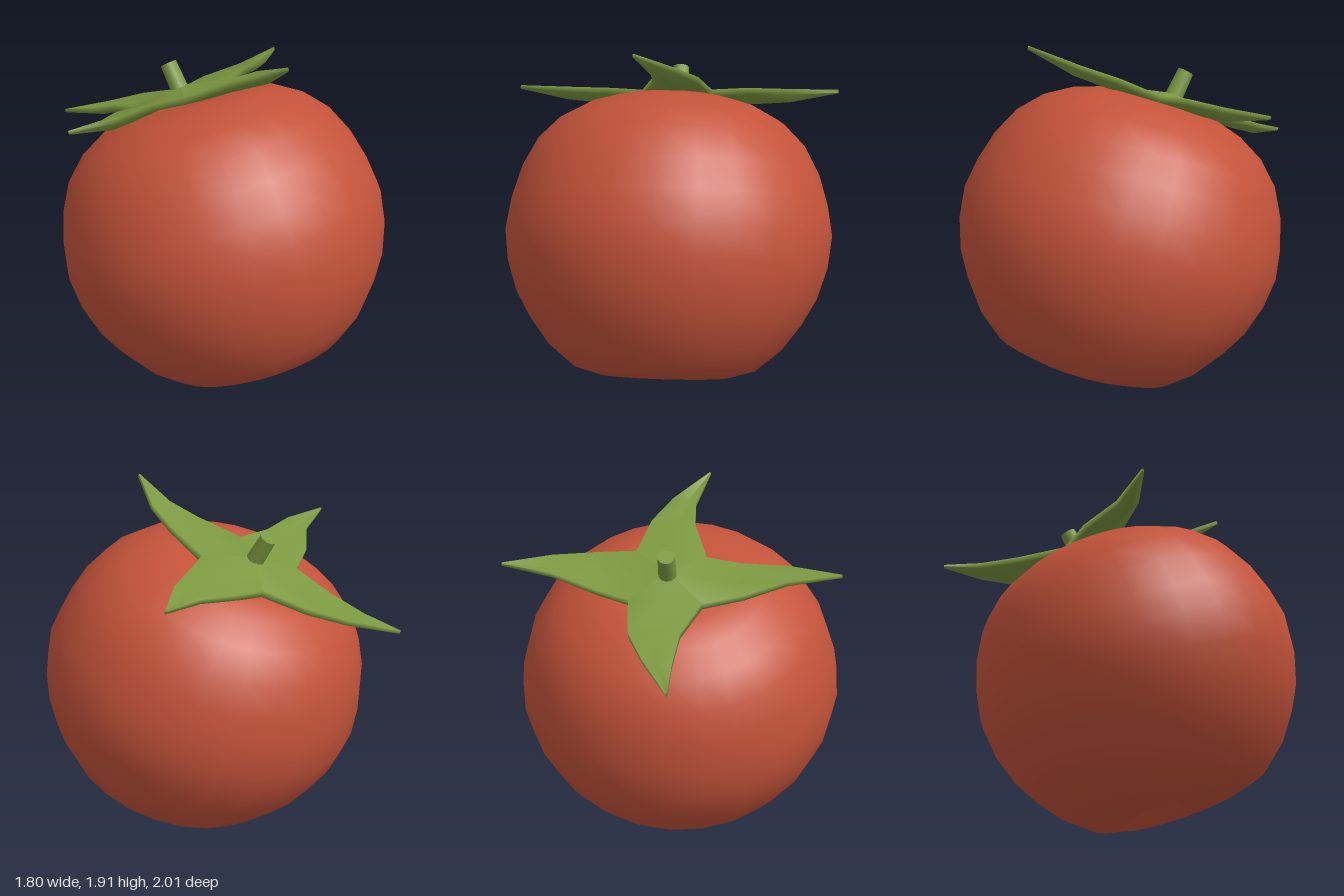
import * as THREE from 'three';

// Each leaf runs outward in stations [leftX, leftZ, rightX, rightZ], ending in a tip
const LEAVES = {
  backLeaf: [[-0.17, -0.23, 0.21, -0.22], [-0.08, -0.475, 0.18, -0.475], [-0.06, -0.69, 0.09, -0.66], [-0.06, -0.9, -0.05, -0.9]],
  frontLeaf: [[0.21, 0.163, -0.17, 0.13], [0.15, 0.397, -0.09, 0.375], [0.05, 0.59, -0.08, 0.555], [-0.135, 0.81, -0.145, 0.81]],
  rightLeaf: [[-0.17, 0.13, -0.17, -0.23], [-0.36, 0.067, -0.38, -0.18], [-0.6, 0.056, -0.6, -0.07], [-0.88, -0.02, -0.88, -0.03]],
  leftLeaf: [[0.21, -0.22, 0.21, 0.163], [0.38, -0.178, 0.4, 0.12], [0.62, -0.07, 0.65, 0.078], [0.9, -0.03, 0.9, -0.02]],
};
const EDGE_Y = [0.765, 0.785, 0.79, 0.81]; // raised rims
const RIB_Y = [0.765, 0.755, 0.76, 0.805]; // sunken midrib
const THICK = [0.04, 0.035, 0.03, 0.015];
const CENTRE = [0.02, 0.805, -0.04];

// Closed leaf: six-point cross-sections joined from the calyx centre to the tip
function leafGeometry(stations) {
  const pos = [], index = [];
  const [cx, cy, cz] = CENTRE;
  for (let k = 0; k < 6; k++) pos.push(cx, k < 3 ? cy : cy - 0.07, cz);
  stations.forEach(([lx, lz, rx, rz], i) => {
    const mx = (lx + rx) / 2, mz = (lz + rz) / 2, e = EDGE_Y[i], m = RIB_Y[i], t = THICK[i];
    pos.push(lx, e, lz, mx, m, mz, rx, e, rz, rx, e - t, rz, mx, m - t, mz, lx, e - t, lz);
  });
  for (let i = 0; i < stations.length; i++) {
    for (let k = 0; k < 6; k++) {
      if (i === 0 && (k === 2 || k === 5)) continue; // no walls between joined leaves
      const a = i * 6 + k, b = i * 6 + (k + 1) % 6, c = b + 6, d = a + 6;
      if (i > 0) index.push(a, b, c);
      index.push(i > 0 ? a : b, c, d);
    }
  }
  const n = stations.length * 6; // tip cap
  for (let k = 1; k < 5; k++) index.push(n, n + k, n + k + 1);
  const g = new THREE.BufferGeometry();
  g.setAttribute('position', new THREE.Float32BufferAttribute(pos, 3));
  g.setIndex(index);
  g.computeVertexNormals();
  return g;
}

export function createModel() {
  const model = new THREE.Group();
  model.name = 'tomato';
  const red = new THREE.MeshStandardMaterial({ color: 0xc4533a });
  const green = new THREE.MeshStandardMaterial({ color: 0x7b9840, side: THREE.DoubleSide });

  // Whole fruit leans back on its base
  const fruit = new THREE.Group();
  fruit.name = 'fruit';
  fruit.position.set(-0.015, 0.87, 0.11);
  fruit.rotation.x = -THREE.MathUtils.degToRad(20);
  model.add(fruit);

  // Body with a dimple below and a shallow one above
  const profile = [
    [0, -0.66], [0.12, -0.68], [0.24, -0.74], [0.35, -0.787], [0.495, -0.745], [0.635, -0.63],
    [0.74, -0.49], [0.82, -0.35], [0.875, -0.18], [0.895, -0.01], [0.87, 0.15], [0.82, 0.32],
    [0.74, 0.475], [0.625, 0.595], [0.48, 0.68], [0.34, 0.725], [0.2, 0.72], [0.1, 0.69], [0, 0.67],
  ].map(([r, y]) => new THREE.Vector2(r, y));
  const body = new THREE.Mesh(new THREE.LatheGeometry(profile, 26), red);
  body.name = 'body';
  fruit.add(body);

  // Four-leaf calyx
  const calyx = new THREE.Group();
  calyx.name = 'calyx';
  calyx.position.x = 0.015;
  fruit.add(calyx);
  for (const [name, stations] of Object.entries(LEAVES)) {
    const leaf = new THREE.Mesh(leafGeometry(stations), green);
    leaf.name = name;
    calyx.add(leaf);
  }

  // Short stem leaning slightly backwards
  const stem = new THREE.Mesh(new THREE.CylinderGeometry(0.045, 0.05, 0.18, 10), green);
  stem.name = 'stem';
  stem.position.set(0.02, 0.85, -0.065);
  stem.rotation.x = -0.18;
  calyx.add(stem);

  return model;
}
